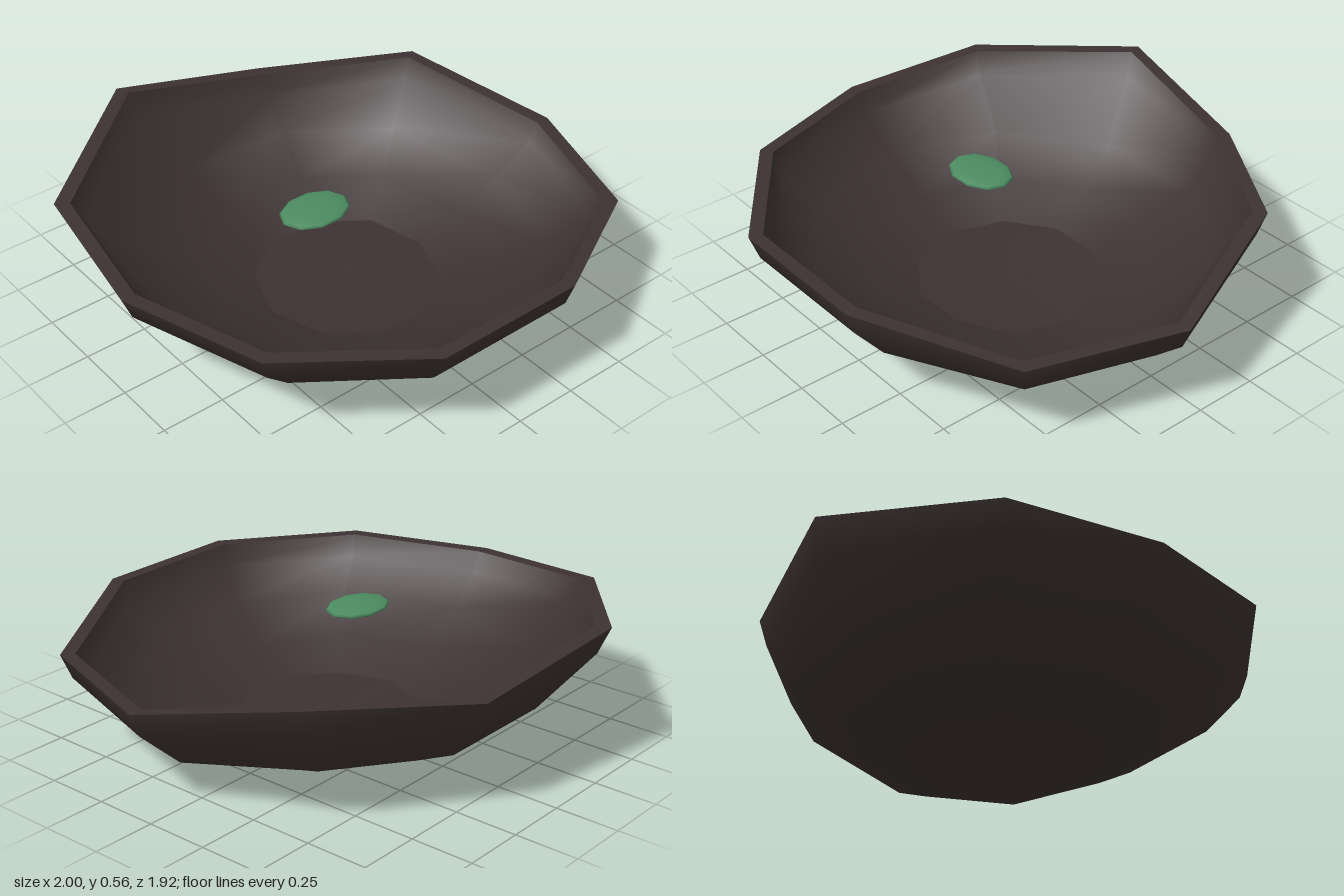
import * as THREE from 'three';

const SIDES = 10;
const CENTER_Z = 0.04;

// Uneven lip corners: x, y, z, going round from the left side towards the front
const LIP = [
  [1.0, 0.39, 0.08], [0.81, 0.39, 0.65], [0.26, 0.455, 0.96], [-0.34, 0.455, 0.96],
  [-0.82, 0.455, 0.6], [-1.0, 0.455, 0.04], [-0.91, 0.49, -0.54], [-0.36, 0.56, -0.96],
  [0.26, 0.455, -0.87], [0.79, 0.505, -0.51],
];
const LIP_Y = 0.455;

// One ring of the bowl: a regular polygon pulled towards the lip shape.
// pull = share of the lip's irregularity, sag = share of its low corners.
function ring(radius, y, pull, sag) {
  return LIP.map(([lx, ly, lz], k) => {
    const a = (k / SIDES) * Math.PI * 2;
    const x = Math.cos(a) * radius;
    const z = CENTER_Z + Math.sin(a) * radius;
    const rx = lx * radius;
    const rz = CENTER_Z + (lz - CENTER_Z) * radius;
    const dy = ly - LIP_Y;
    return new THREE.Vector3(
      THREE.MathUtils.lerp(x, rx, pull),
      y + dy * (dy < 0 ? sag : pull),
      THREE.MathUtils.lerp(z, rz, pull),
    );
  });
}

// Smooth skin through a list of rings
function loft(rings) {
  const points = rings.flat();
  const index = [];
  for (let i = 0; i < rings.length - 1; i++) {
    for (let k = 0; k < SIDES; k++) {
      const n = (k + 1) % SIDES;
      const a = i * SIDES + k, b = i * SIDES + n;
      const c = a + SIDES, d = b + SIDES;
      index.push(a, c, b, b, c, d);
    }
  }
  const geometry = new THREE.BufferGeometry().setFromPoints(points);
  geometry.setIndex(index);
  geometry.computeVertexNormals();
  return geometry;
}

export function createModel() {
  const group = new THREE.Group();
  const clay = new THREE.MeshStandardMaterial({ name: 'darkClay', color: 0x3d3233 });
  const green = new THREE.MeshStandardMaterial({ name: 'leafGreen', color: 0x4c8c61 });

  const add = (name, geometry, material) => {
    const mesh = new THREE.Mesh(geometry, material);
    mesh.name = name;
    group.add(mesh);
    return mesh;
  };

  // Outer side, from the foot up to the lip
  const outer = [
    ring(0.39, 0.025, 0, 0.3), ring(0.59, 0.1, 0, 0.6), ring(0.81, 0.215, 0, 1),
    ring(0.962, 0.36, 0.9, 1), ring(1, LIP_Y, 1, 1),
  ];
  // Inner side, from the lip down to the floor
  const inner = [
    ring(0.945, LIP_Y, 1, 1), ring(0.905, 0.375, 0.9, 1), ring(0.765, 0.25, 0, 1),
    ring(0.555, 0.14, 0, 0.6), ring(0.36, 0.065, 0, 0.3),
  ];
  add('bowlOutside', loft(outer), clay);
  add('bowlLip', loft([outer[4], inner[0]]), clay);
  add('bowlInside', loft(inner), clay);
  add('bowlFloor', loft([inner[4], ring(0, 0.045, 0, 0)]), clay);
  add('bowlFoot', loft([ring(0, 0, 0, 0), ring(0.15, 0.003, 0, 0), outer[0]]), clay);

  // Small flattened pebble near the middle
  const pebble = add('pebble', new THREE.SphereGeometry(1, 10, 8), green);
  pebble.scale.set(0.143, 0.018, 0.107);
  pebble.position.set(-0.16, 0.448, 0.042);

  return group;
}
